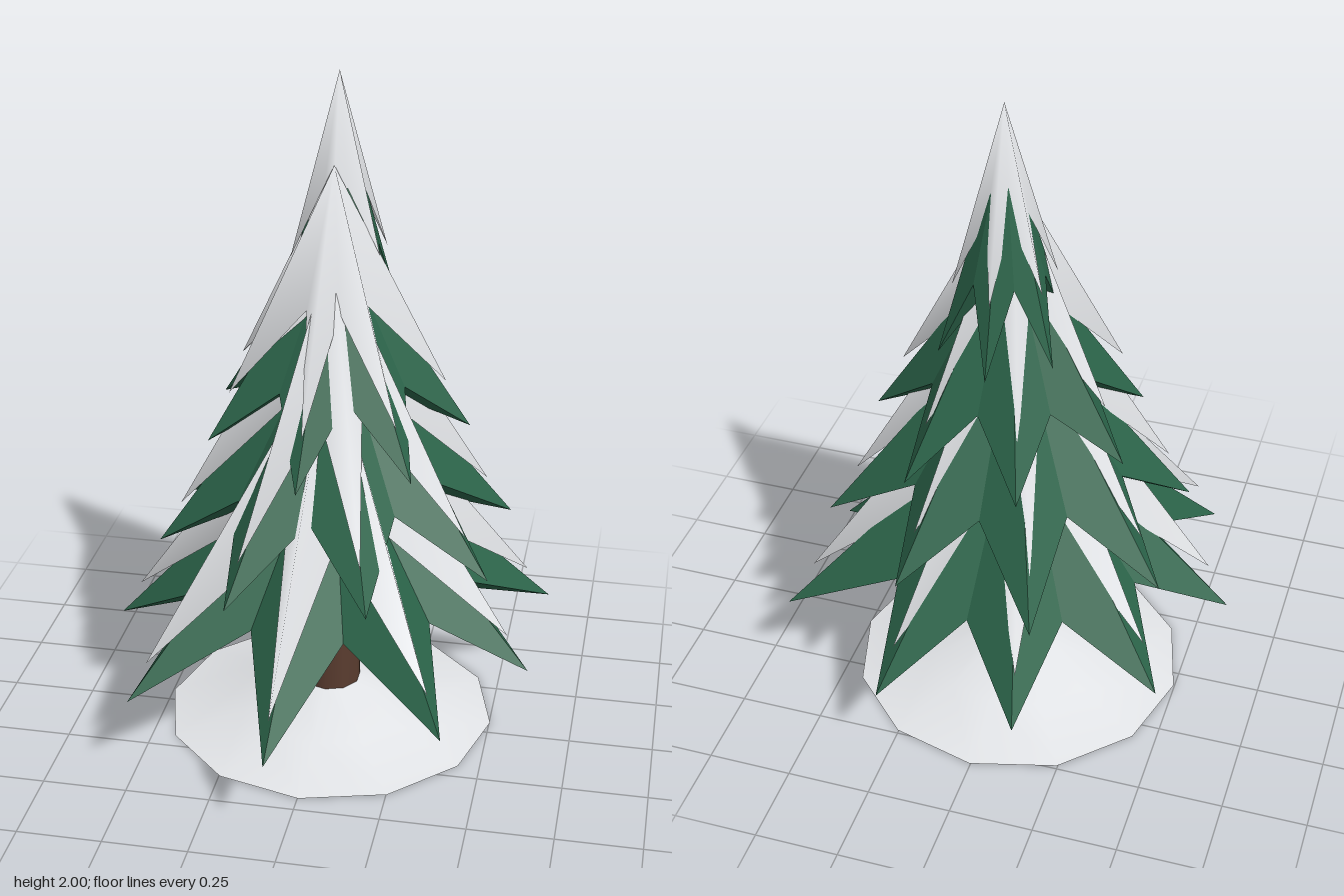
import * as THREE from 'three';

const green = new THREE.MeshStandardMaterial({ color: 0x2b6349, flatShading: true });
green.name = 'needle green';
const snow = new THREE.MeshStandardMaterial({ color: 0xe2e4e7, side: THREE.DoubleSide });
snow.name = 'snow white';
const bark = new THREE.MeshStandardMaterial({ color: 0x5b3d30 });
bark.name = 'bark brown';

// Each tier: number of spikes, first spike angle, centre z, tip radius and height,
// valley height, apex height, then its snow: tip radius, tip, valley and apex heights, forward drift
const tiers = [
  { n: 9, turn: 94.5, z: -0.05, r: 0.67, tip: 0.29, valley: 0.47, apex: 1.0, snow: [0.6, 0.41, 0.71, 1.24], drift: 0.028,
    reach: [1.08, 1.07, 0.96, 0.95, 0.98, 0.93, 1.05, 0.95, 1.07], drop: [-0.035, -0.01, 0.02, 0.01, 0.02, -0.03, 0.01, 0.01, 0.02] },
  { n: 8, turn: 114, z: -0.07, r: 0.54, tip: 0.61, valley: 0.8, apex: 1.33, snow: [0.465, 0.74, 1.07, 1.53], drift: 0.025,
    reach: [1, 0.96, 1, 1.02, 0.96, 1.02, 1, 0.95], drop: [-0.02, 0.02, -0.02, -0.02, 0.02, 0.02, 0, -0.01] },
  { n: 7, turn: 97, z: -0.105, r: 0.385, tip: 0.94, valley: 1.12, apex: 1.57, snow: [0.315, 1.09, 1.35, 1.75], drift: 0.022,
    reach: [0.96, 1.02, 1, 1, 1.02, 1.03, 1], drop: [-0.05, 0.02, 0.03, 0, -0.02, 0.02, -0.03] },
  { n: 6, turn: 90, z: -0.167, r: 0.19, tip: 1.26, valley: 1.5, apex: 1.93, snow: [0.147, 1.47, 1.68, 2.0], drift: 0.006,
    reach: [1, 1, 1, 0.98, 1, 1.03], drop: [-0.02, 0, 0.01, -0.01, 0, 0.02] },
];

// Star-shaped cone: alternating tips and valleys under one apex, optionally closed below
function starCone(t, tipR, tipY, valleyR, valleyY, apexY, closed) {
  const pos = [0, apexY, 0, 0, valleyY, 0];
  const index = [];
  const count = t.n * 2;
  for (let i = 0; i < count; i++) {
    const a = THREE.MathUtils.degToRad(t.turn) + (i * Math.PI) / t.n;
    const k = i >> 1;
    const isTip = i % 2 === 0;
    const r = isTip ? tipR * t.reach[k] : valleyR;
    const y = isTip ? tipY + t.drop[k] : valleyY;
    pos.push(r * Math.cos(a), y, r * Math.sin(a));
    const p = 2 + i, q = 2 + ((i + 1) % count);
    index.push(0, q, p);
    if (closed) index.push(1, p, q);
  }
  const geo = new THREE.BufferGeometry();
  geo.setAttribute('position', new THREE.Float32BufferAttribute(pos, 3));
  geo.setIndex(index);
  geo.computeVertexNormals();
  return geo;
}

function addMesh(group, name, geo, mat, x, y, z) {
  const mesh = new THREE.Mesh(geo, mat);
  mesh.name = name;
  mesh.position.set(x, y, z);
  group.add(mesh);
}

const lathe = (points, sides) => new THREE.LatheGeometry(points.map(([r, y]) => new THREE.Vector2(r, y)), sides);

export function createModel() {
  const tree = new THREE.Group();
  tree.name = 'snowyFirTree';

  // Snow mound, an open shell around the foot
  addMesh(tree, 'snowMound', lathe([[0.5, 0], [0.28, 0.045], [0.1, 0.122], [0, 0.125]], 12), snow, 0.003, 0, -0.055);

  // Trunk with a rounded foot
  addMesh(tree, 'trunk', lathe([[0, 0.005], [0.065, 0.005], [0.092, 0.03], [0.09, 0.7]], 10), bark, 0.005, 0, -0.05);

  // Branch tiers, each with a snow shell drifted slightly towards the front
  tiers.forEach((t, i) => {
    const valleyR = t.r * 0.6;
    const [snowR, snowTip, snowValley, snowApex] = t.snow;
    const snowValleyR = (valleyR * (t.apex - snowValley)) / (t.apex - t.valley);
    addMesh(tree, `branchTier${i + 1}`, starCone(t, t.r, t.tip, valleyR, t.valley, t.apex, true), green, 0.007, 0, t.z);
    addMesh(tree, `snowOnTier${i + 1}`, starCone(t, snowR, snowTip, snowValleyR, snowValley, snowApex, false), snow, 0.008, 0, t.z + t.drift);
  });
  return tree;
}
